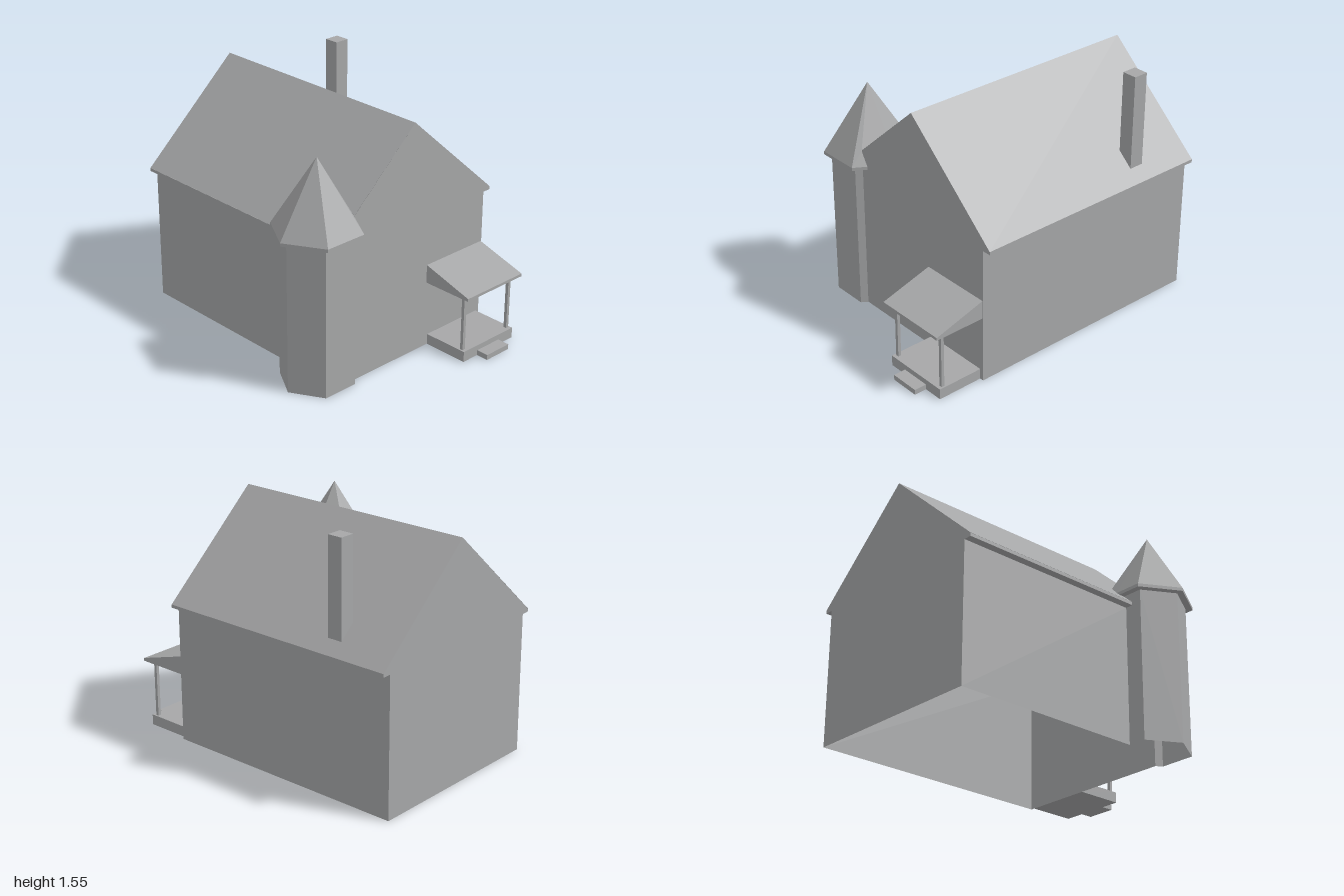
import * as THREE from 'three';

const grey = new THREE.MeshStandardMaterial({ color: 0xa6a7a8, side: THREE.DoubleSide });
grey.name = 'plain grey';

// One mesh from flat polygons: [corner points, rough outward direction]
function faces(name, list) {
  const pos = [];
  for (const [pts, out] of list) {
    const v = pts.map(p => new THREE.Vector3(...p));
    const o = new THREE.Vector3(...out);
    const n = new THREE.Vector3();
    v.forEach((a, i) => n.add(new THREE.Vector3().crossVectors(a, v[(i + 1) % v.length])));
    const [ax, ay, az] = n.toArray().map(Math.abs);
    const flat = v.map(p =>
      ax >= ay && ax >= az ? new THREE.Vector2(p.y, p.z)
        : ay >= az ? new THREE.Vector2(p.x, p.z) : new THREE.Vector2(p.x, p.y));
    for (const [i, j, k] of THREE.ShapeUtils.triangulateShape(flat, [])) {
      const t = new THREE.Triangle(v[i], v[j], v[k]).getNormal(new THREE.Vector3());
      for (const q of t.dot(o) < 0 ? [i, k, j] : [i, j, k]) pos.push(v[q].x, v[q].y, v[q].z);
    }
  }
  const g = new THREE.BufferGeometry();
  g.setAttribute('position', new THREE.Float32BufferAttribute(pos, 3));
  g.computeVertexNormals();
  const m = new THREE.Mesh(g, grey);
  m.name = name;
  return m;
}

// Box given by its limits
function box(name, x0, x1, y0, y1, z0, z1) {
  const m = new THREE.Mesh(new THREE.BoxGeometry(x1 - x0, y1 - y0, z1 - z0), grey);
  m.position.set((x0 + x1) / 2, (y0 + y1) / 2, (z0 + z1) / 2);
  m.name = name;
  return m;
}

const BACK = -1, FRONT = 0.62, RIDGE = 1.485, MID = 0.11;
const roofY = x => RIDGE - 0.9 * Math.abs(x - MID);

function house() {
  const g = new THREE.Group();
  g.name = 'house';
  const rightSide = [[MID, RIDGE], [0.775, 0.89], [0.775, 0.87], [0.72, 0.87], [0.72, 0]];
  const at = (list, z) => list.map(([x, y]) => [x, y, z]);
  // Strip along z between two profile points
  const strip = (a, b, z1, out) => [[[...a, BACK], [...b, BACK], [...b, z1], [...a, z1]], out];

  // Gable walls; the front one stops at the tower
  g.add(faces('backWall', [[at([...rightSide, [-0.5, 0], [-0.5, 0.87], [-0.55, 0.87], [-0.55, 0.89]], BACK), [0, 0, -1]]]));
  g.add(faces('frontWall', [[at([...rightSide, [-0.36, 0], [-0.36, 0.95], [-0.315, 0.95],
    [-0.315, 0.97], [-0.365, 1.055]], FRONT), [0, 0, 1]]]));
  g.add(faces('sideWalls', [
    strip([0.72, 0], [0.72, 0.87], FRONT, [1, 0, 0]),
    strip([-0.5, 0], [-0.5, 0.87], 0.26, [-1, 0, 0]),
  ]));
  // Roof slopes, the left one cut out around the tower
  const left = [[MID, BACK], [MID, FRONT], [-0.365, FRONT], [-0.312, 0.46], [-0.384, 0.262],
    [-0.46, 0.222], [-0.483, 0.222], [-0.483, 0.26], [-0.55, 0.26], [-0.55, BACK]];
  g.add(faces('roof', [
    strip([MID, RIDGE], [0.775, 0.89], FRONT, [1, 1, 0]),
    [left.map(([x, z]) => [x, roofY(x), z]), [-1, 1, 0]],
  ]));
  g.add(faces('eaves', [
    strip([0.775, 0.89], [0.775, 0.87], FRONT, [1, 0, 0]),
    strip([0.775, 0.87], [0.72, 0.87], FRONT, [0, -1, 0]),
    strip([-0.55, 0.89], [-0.55, 0.87], 0.26, [-1, 0, 0]),
    strip([-0.55, 0.87], [-0.5, 0.87], 0.26, [0, -1, 0]),
  ]));
  return g;
}

function tower() {
  const g = new THREE.Group();
  g.name = 'tower';
  const CX = -0.5, CZ = 0.46, WALL = 0.95, RIM = 0.97;
  const corner = (r, deg) => [CX + r * Math.cos(deg * Math.PI / 180), CZ + r * Math.sin(deg * Math.PI / 180)];
  const ring = r => [60, 120, 180, 240].map(d => corner(r, d));
  // Open paths that end where the tower meets the house
  const inner = [[-0.36, FRONT], ...ring(0.23), [-0.483, 0.26]];
  const outer = [[-0.315, FRONT], ...ring(0.275), [-0.47, 0.222]];
  const away = (a, b) => [(a[0] + b[0]) / 2 - CX, 0, (a[1] + b[1]) / 2 - CZ];
  const P = ([x, z], y) => [x, y, z];
  const walls = [], rim = [], soffit = [];
  for (let i = 0; i < 5; i++) {
    const a = inner[i], b = inner[i + 1], c = outer[i], d = outer[i + 1];
    walls.push([i < 4 ? [P(a, 0), P(b, 0), P(b, WALL), P(a, WALL)]
      : [P(a, 0), [-0.5, 0, 0.26], [-0.5, 0.935, 0.26], P(b, WALL), P(a, WALL)], away(a, b)]);
    rim.push([[P(c, WALL), P(d, WALL), P(d, RIM), P(c, RIM)], away(c, d)]);
    soffit.push([[P(a, WALL), P(b, WALL), P(d, WALL), P(c, WALL)], [0, -1, 0]]);
  }
  g.add(faces('towerWalls', walls), faces('towerRim', rim), faces('towerSoffit', soffit));

  // Six-sided spire, trimmed along the house roof
  const apex = [CX, 1.405, CZ];
  const [f1, f2, f3, f4] = ring(0.275).map(p => P(p, RIM));
  const cutA = [-0.312, 1.107, 0.46], cutB = [-0.384, 1.04, 0.262];
  g.add(faces('spire', [
    [[apex, f1, f2], [0, 1, 1]],
    [[apex, f2, f3], [-1, 1, 0.5]],
    [[apex, f3, f4], [-1, 1, -0.5]],
    [[apex, f4, [-0.46, RIM, 0.222], cutB], [0, 1, -1]],
    [[apex, cutB, cutA], [1, 1, -0.5]],
    [[apex, cutA, [-0.365, 1.055, FRONT], [-0.315, RIM, FRONT], f1], [1, 1, 0.5]],
  ]));
  return g;
}

// Chimney standing on the right roof slope
function chimney() {
  const x0 = 0.605, x1 = 0.7, z0 = -0.64, z1 = -0.545, top = 1.55;
  const ya = roofY(x0), yb = roofY(x1);
  const side = z => [[x0, ya, z], [x1, yb, z], [x1, top, z], [x0, top, z]];
  const end = (x, y) => [[x, y, z0], [x, y, z1], [x, top, z1], [x, top, z0]];
  return faces('chimney', [
    [side(z0), [0, 0, -1]], [side(z1), [0, 0, 1]],
    [end(x0, ya), [-1, 0, 0]], [end(x1, yb), [1, 0, 0]],
    [[[x0, top, z0], [x1, top, z0], [x1, top, z1], [x0, top, z1]], [0, 1, 0]],
  ]);
}

function porch() {
  const g = new THREE.Group();
  g.name = 'porch';
  g.add(box('porchFloor', 0.26, 0.695, 0, 0.067, FRONT, 0.92));
  g.add(box('porchStep', 0.38, 0.57, 0, 0.033, 0.92, 1));
  for (const x of [0.272, 0.664]) g.add(box('porchPost', x, x + 0.02, 0.067, 0.425, 0.878, 0.898));
  // Lean-to roof: side profile swept across x
  const profile = new THREE.Shape([[FRONT, 0.425], [0.953, 0.425], [0.953, 0.443], [FRONT, 0.542]]
    .map(([z, y]) => new THREE.Vector2(-z, y)));
  const roof = new THREE.Mesh(new THREE.ExtrudeGeometry(profile, { depth: 0.475, bevelEnabled: false }), grey);
  roof.rotation.y = Math.PI / 2;
  roof.position.x = 0.24;
  roof.name = 'porchRoof';
  g.add(roof);
  return g;
}

export function createModel() {
  const model = new THREE.Group();
  model.name = 'houseWithTower';
  model.add(house(), tower(), chimney(), porch());
  return model;
}
